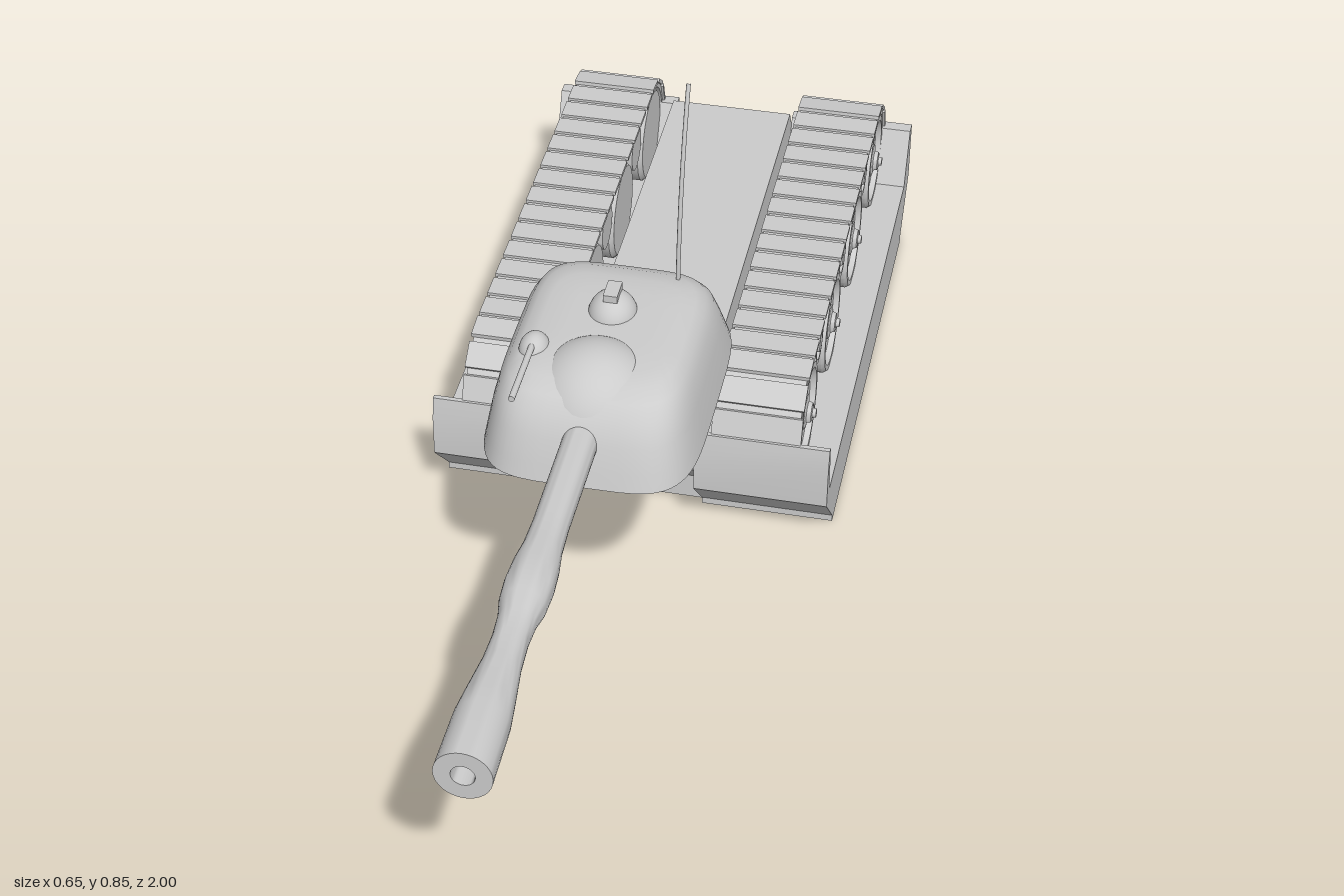
import * as THREE from 'three';
import { toCreasedNormals } from 'three/addons/utils/BufferGeometryUtils.js';

const grey = new THREE.MeshStandardMaterial({ color: 0xcccccc });
const V2 = (p) => new THREE.Vector2(p[0], p[1]);

function add(parent, name, geo, x = 0, y = 0, z = 0) {
  const mesh = new THREE.Mesh(geo, grey);
  mesh.name = name;
  mesh.position.set(x, y, z);
  parent.add(mesh);
  return mesh;
}

// Extrudes a (z, y) side profile across a width, centred on x = 0
function sideExtrude(shape, width) {
  const geo = new THREE.ExtrudeGeometry(shape, { depth: width, bevelEnabled: false, curveSegments: 20 });
  geo.rotateY(-Math.PI / 2).translate(width / 2, 0, 0);
  return toCreasedNormals(geo, 0.5);
}

function lathe(points, segments = 32, crease = 0.6) {
  return toCreasedNormals(new THREE.LatheGeometry(points.map(V2), segments), crease);
}

// Skin over rounded-rectangle rings: [y, halfWidth, zFront, zRear]
function ringSkin(rings, power = 4.5, n = 56) {
  const pos = [], index = [];
  const bend = (v) => Math.sign(v) * Math.abs(v) ** (2 / power);
  rings.forEach(([y, hx, zf, zr]) => {
    for (let j = 0; j < n; j++) {
      const t = (j / n) * Math.PI * 2;
      pos.push(hx * bend(Math.cos(t)), y, (zf + zr) / 2 + ((zf - zr) / 2) * bend(Math.sin(t)));
    }
  });
  for (let i = 0; i < rings.length - 1; i++) {
    for (let j = 0; j < n; j++) {
      const a = i * n + j, b = i * n + ((j + 1) % n);
      index.push(a, a + n, b, b, a + n, b + n);
    }
  }
  const geo = new THREE.BufferGeometry();
  geo.setAttribute('position', new THREE.Float32BufferAttribute(pos, 3));
  geo.setIndex(index);
  return toCreasedNormals(geo, 0.8);
}

// Track loop: two arcs of the same radius joined by straight runs
const FRONT = -0.15, REAR = -0.887, AXLE = 0.195;

function stadium(path, r) {
  path.moveTo(REAR, AXLE - r);
  path.lineTo(FRONT, AXLE - r);
  path.absarc(FRONT, AXLE, r, -Math.PI / 2, Math.PI / 2, false);
  path.lineTo(REAR, AXLE + r);
  path.absarc(REAR, AXLE, r, Math.PI / 2, Math.PI * 1.5, false);
  return path;
}

function buildHull(root) {
  const hull = new THREE.Group();
  hull.name = 'hull';
  // Side pans with upturned ends
  const pan = new THREE.Shape([
    [-0.117, 0], [-0.117, 0.012], [-0.035, 0.1], [-0.035, 0.17], [-0.042, 0.21], [-0.05, 0.21],
    [-0.06, 0.117], [-0.93, 0.117], [-0.975, 0.21], [-0.998, 0.21], [-0.998, 0.1],
    [-0.92, 0.012], [-0.92, 0],
  ].map(V2));
  for (const s of [1, -1]) add(hull, 'sidePan', sideExtrude(pan, 0.219), s * 0.2175);
  // Central body between the tracks
  const body = new THREE.Shape([
    [-0.13, 0], [-0.13, 0.045], [-0.06, 0.117], [-0.06, 0.19], [-0.09, 0.237],
    [-0.945, 0.237], [-0.975, 0.19], [-0.975, 0.117], [-0.905, 0.045], [-0.905, 0],
  ].map(V2));
  add(hull, 'centreBody', sideExtrude(body, 0.217));
  root.add(hull);
}

function buildTrack(root, side) {
  const track = new THREE.Group();
  track.name = side > 0 ? 'leftTrack' : 'rightTrack';
  track.position.x = side * 0.206;

  // Belt
  const belt = stadium(new THREE.Shape(), 0.098);
  belt.holes.push(stadium(new THREE.Path(), 0.088));
  add(track, 'trackBelt', sideExtrude(belt, 0.138));

  // Plates spaced evenly along the exposed part of the belt
  const r = 0.099, run = FRONT - REAR, arc = Math.PI * r / 2 * 1.3;
  const count = 21, step = (run + 2 * arc) / count;
  const plate = new THREE.BoxGeometry(0.146, 0.007, step * 0.8);
  for (let i = 0; i < count; i++) {
    const s = (i + 0.5) * step - arc;
    const over = s < 0 ? s : Math.max(0, s - run);
    const a = over / r;
    const z = FRONT - Math.min(Math.max(s, 0), run) - r * Math.sin(a);
    const link = add(track, 'trackPlate', plate, 0, AXLE + r * Math.cos(a), z);
    link.rotation.x = -a;
  }

  // Road wheels and return rollers, dished on the outer face
  const wheelGeo = lathe([
    [0, -0.068], [0.08, -0.068], [0.087, -0.06], [0.087, 0.064], [0.083, 0.07], [0.074, 0.07],
    [0.07, 0.06], [0.032, 0.056], [0.029, 0.066], [0.018, 0.068], [0.016, 0.075], [0.008, 0.076],
    [0.007, 0.082], [0, 0.082],
  ], 36).rotateZ(-Math.PI / 2);
  const rollerGeo = lathe([
    [0, -0.066], [0.04, -0.066], [0.04, 0.062], [0.036, 0.066], [0.029, 0.066], [0.027, 0.058],
    [0.018, 0.058], [0.015, 0.068], [0, 0.068],
  ], 28).rotateZ(-Math.PI / 2);
  const turn = side > 0 ? 0 : Math.PI;
  const pitch = (FRONT - REAR) / 3;
  for (let i = 0; i < 4; i++) {
    add(track, 'roadWheel', wheelGeo, 0, AXLE + 0.002, FRONT - i * pitch).rotation.y = turn;
    if (i < 3) add(track, 'returnRoller', rollerGeo, 0, 0.246, FRONT - (i + 0.5) * pitch).rotation.y = turn;
  }
  root.add(track);
}

function buildTurret(root) {
  const turret = new THREE.Group();
  turret.name = 'turret';

  // Domed shell with closed underside
  add(turret, 'turretShell', ringSkin([
    [0.393, 0.001, 0.101, 0.099], [0.393, 0.167, 0.335, -0.135], [0.42, 0.162, 0.328, -0.12],
    [0.46, 0.154, 0.316, -0.098], [0.495, 0.145, 0.3, -0.077], [0.515, 0.134, 0.28, -0.058],
    [0.527, 0.12, 0.255, -0.035], [0.533, 0.1, 0.225, -0.005], [0.535, 0.06, 0.17, 0.03],
    [0.535, 0.001, 0.101, 0.099],
  ]));

  // Ball mount and gun barrel with a bored muzzle
  add(turret, 'gunBall', new THREE.SphereGeometry(0.102, 40, 28), 0, 0.452, 0.207);
  const barrel = lathe([
    [0.027, 0.25], [0.027, 0.5], [0.029, 0.55], [0.034, 0.59], [0.036, 0.63], [0.034, 0.67],
    [0.028, 0.7], [0.026, 0.74], [0.028, 0.79], [0.036, 0.86], [0.04, 0.9], [0.041, 1],
    [0.017, 1], [0.017, 0.93], [0, 0.93],
  ], 32, 0.7).rotateX(Math.PI / 2);
  add(turret, 'gunBarrel', barrel, 0, 0.457, 0);

  // Roof hatch with a small cap
  const dome = new THREE.SphereGeometry(1, 28, 12, 0, Math.PI * 2, 0, Math.PI / 2);
  add(turret, 'hatchDome', dome, 0, 0.525, 0.08).scale.set(0.038, 0.04, 0.042);
  add(turret, 'hatchCap', new THREE.BoxGeometry(0.022, 0.012, 0.04), 0, 0.567, 0.08);

  // Small gun pod on the right front of the roof
  add(turret, 'gunPod', dome, -0.097, 0.52, 0.185).scale.set(0.024, 0.03, 0.03);
  const thinBarrel = new THREE.CylinderGeometry(0.005, 0.005, 0.13, 12).rotateX(Math.PI / 2);
  add(turret, 'podBarrel', thinBarrel, -0.097, 0.54, 0.265);

  // Swept-back aerial
  const sweep = new THREE.QuadraticBezierCurve3(
    new THREE.Vector3(0.08, 0.52, -0.024), new THREE.Vector3(0.08, 0.7, -0.03), new THREE.Vector3(0.08, 0.845, -0.088));
  add(turret, 'aerial', new THREE.TubeGeometry(sweep, 16, 0.0035, 8));
  root.add(turret);
}

export function createModel() {
  const root = new THREE.Group();
  root.name = 'tank';
  buildHull(root);
  for (const side of [1, -1]) buildTrack(root, side);
  buildTurret(root);
  return root;
}
